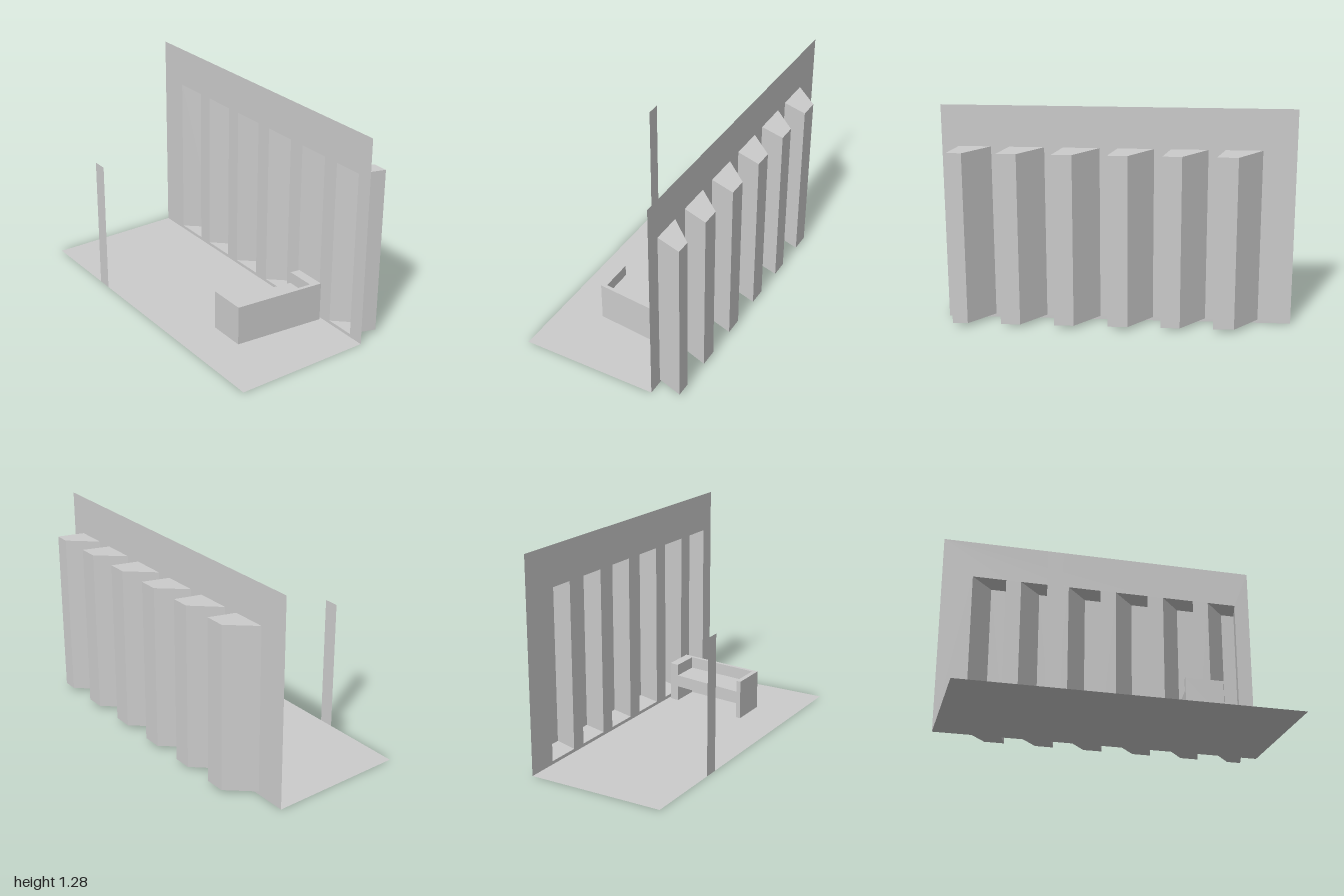
import * as THREE from 'three';

const grey = new THREE.MeshStandardMaterial({ color: 0xcccccc, side: THREE.DoubleSide });
grey.name = 'plain grey';

const WALL_X = 0.34, BAY_X = 0.495, WALL_H = 1.28, BAY_LOW = 0.02, BAY_HIGH = 1.04;

// Each bay: back and front z at the wall, back and front z of the outer pane
const BAYS = [
  [-0.81, -0.6, -0.67, -0.55],
  [-0.505, -0.295, -0.36, -0.25],
  [-0.2, 0.005, -0.06, 0.055],
  [0.107, 0.315, 0.25, 0.364],
  [0.42, 0.62, 0.56, 0.672],
  [0.722, 0.905, 0.865, 0.952],
];

function addMesh(parent, name, geometry) {
  const mesh = new THREE.Mesh(geometry, grey);
  mesh.name = name;
  parent.add(mesh);
  return mesh;
}

// Flat panels from lists of four corners, counter-clockwise seen from outside
function quads(list) {
  const pos = [];
  for (const [a, b, c, d] of list) pos.push(...a, ...b, ...c, ...a, ...c, ...d);
  const g = new THREE.BufferGeometry();
  g.setAttribute('position', new THREE.Float32BufferAttribute(pos, 3));
  g.computeVertexNormals();
  return g;
}

// Upright prism over a plan outline of [x, z] points
function prism(plan, low, high) {
  const shape = new THREE.Shape(plan.map(([x, z]) => new THREE.Vector2(x, -z)));
  const g = new THREE.ExtrudeGeometry(shape, { depth: high - low, bevelEnabled: false });
  return g.rotateX(-Math.PI / 2).translate(0, low, 0);
}

// Slanted bay shell, open towards the room
function bayGeometry([wallBack, wallFront, outBack, outFront]) {
  const plan = [[WALL_X, wallFront], [BAY_X, outFront], [BAY_X, outBack], [WALL_X, wallBack]];
  const low = plan.map(([x, z]) => [x, BAY_LOW, z]);
  const high = plan.map(([x, z]) => [x, BAY_HIGH, z]);
  const faces = [high, [...low].reverse()];
  for (let i = 0; i < 3; i++) faces.push([low[i], low[i + 1], high[i + 1], high[i]]);
  return quads(faces);
}

export function createModel() {
  const model = new THREE.Group();
  model.name = 'roomCorner';

  // Floor sheet
  const floor = new THREE.PlaneGeometry(WALL_X + 0.5, 2).rotateX(-Math.PI / 2);
  addMesh(model, 'floor', floor.translate((WALL_X - 0.5) / 2, 0, 0));

  // Wall sheet with one tall opening per bay (shape x runs along -z)
  const wall = new THREE.Shape([[-1, 0], [1, 0], [1, WALL_H], [-1, WALL_H]].map(p => new THREE.Vector2(...p)));
  for (const [back, front] of BAYS) {
    const hole = [[-front, BAY_LOW], [-front, BAY_HIGH], [-back, BAY_HIGH], [-back, BAY_LOW]];
    wall.holes.push(new THREE.Path(hole.map(p => new THREE.Vector2(...p))));
  }
  addMesh(model, 'wall', new THREE.ShapeGeometry(wall).rotateY(Math.PI / 2).translate(WALL_X, 0, 0));

  // Projecting bays
  BAYS.forEach((bay, i) => addMesh(model, `bay${i + 1}`, bayGeometry(bay)));

  // Free-standing strip at the open edge of the floor
  const post = new THREE.PlaneGeometry(0.09, 0.815).rotateY(-Math.PI / 2);
  addMesh(model, 'postStrip', post.translate(-0.5, 0.4075, -0.453));

  // Bench: two full-height ends, a back panel and a raised seat
  const bench = new THREE.Group();
  bench.name = 'bench';
  const LOW = 0.004, TOP = 0.247;
  const rear = x => 0.37 + (x + 0.24) * 0.152;
  const front = x => 0.6 + (x + 0.24) * 0.098;
  const section = (x0, x1, z0, z1) => [[x0, z1(x0)], [x1, z1(x1)], [x1, z0(x1)], [x0, z0(x0)]];
  const inner = x => front(x) - 0.022;
  addMesh(bench, 'benchNearEnd', prism(section(-0.24, -0.21, rear, front), LOW, TOP));
  addMesh(bench, 'benchWallEnd', prism(section(0.26, 0.32, rear, front), LOW, TOP));
  addMesh(bench, 'benchBack', prism(section(-0.21, 0.26, inner, front), LOW, TOP));
  addMesh(bench, 'benchSeat', prism(section(-0.21, 0.26, rear, inner), 0.1, 0.175));
  model.add(bench);

  return model;
}
